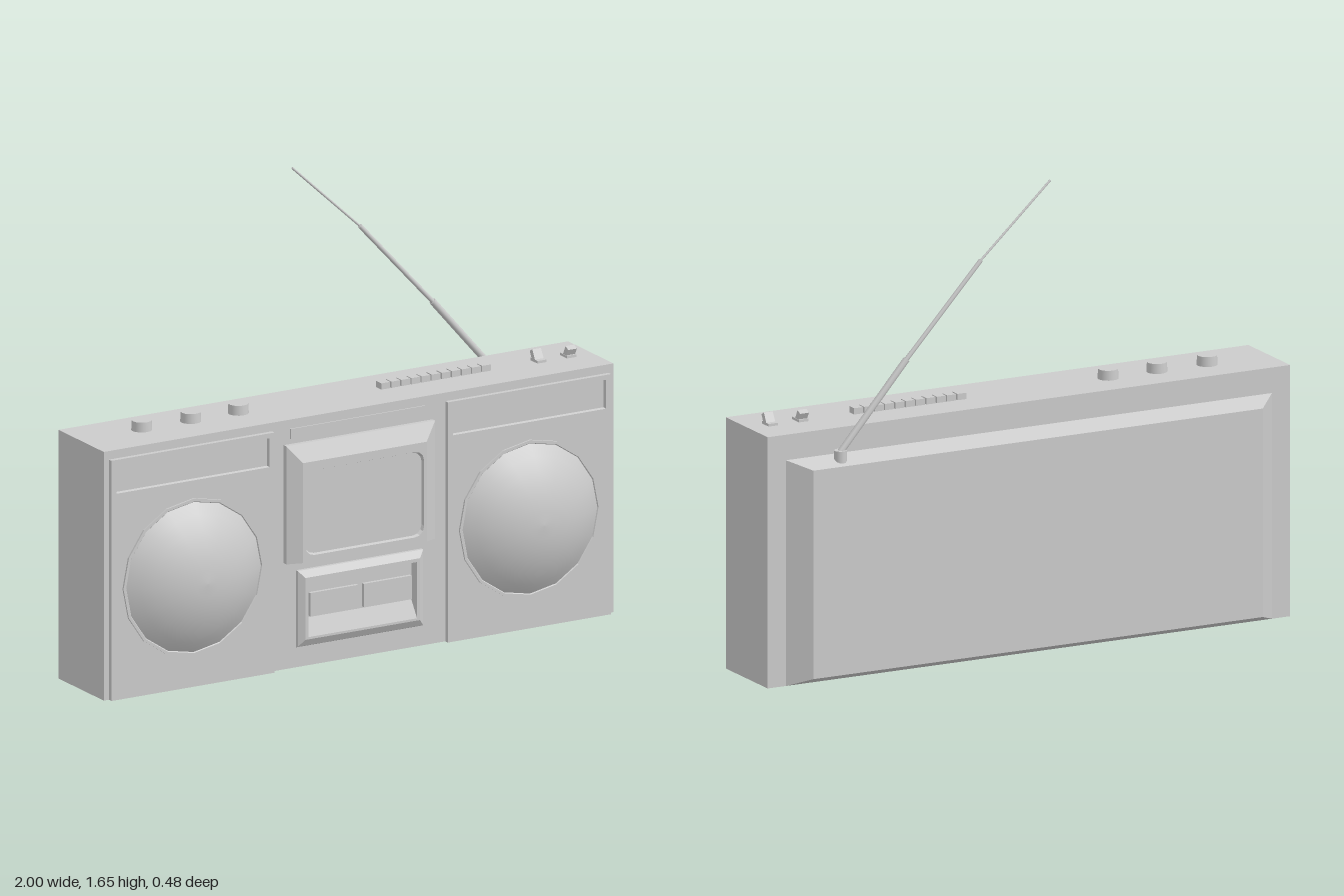
import * as THREE from 'three';

const FRONT = 0.123, BACK = -0.175, TOP = 0.876;

export function createModel() {
  const root = new THREE.Group();
  const smooth = new THREE.MeshStandardMaterial({ color: 0xcccccc });
  const flat = new THREE.MeshStandardMaterial({ color: 0xcccccc, flatShading: true });

  function add(name, geometry, x = 0, y = 0, z = 0, material = flat) {
    const mesh = new THREE.Mesh(geometry, material);
    mesh.name = name;
    mesh.position.set(x, y, z);
    root.add(mesh);
    return mesh;
  }
  const box = (name, w, h, d, x, y, z) => add(name, new THREE.BoxGeometry(w, h, d), x, y, z);

  // Outline of a rectangle, with optional rounded corners, counter-clockwise
  function outline([x0, x1, y0, y1, z, r = 0]) {
    const corners = [[x1 - r, y0 + r], [x1 - r, y1 - r], [x0 + r, y1 - r], [x0 + r, y0 + r]];
    const points = [];
    corners.forEach(([cx, cy], c) => {
      for (let k = 0; k <= 3; k++) {
        const a = (c - 1 + k / 3) * Math.PI / 2;
        points.push([cx + r * Math.cos(a), cy + r * Math.sin(a), z]);
      }
    });
    return points;
  }

  // Joins rectangular outlines one after the other and caps the last one
  function loft(rings) {
    const loops = rings.map(outline), pos = [];
    const n = loops[0].length;
    const tri = (a, b, c) => pos.push(...a, ...b, ...c);
    for (let s = 0; s < loops.length - 1; s++) {
      const a = loops[s], b = loops[s + 1];
      for (let i = 0; i < n; i++) {
        const j = (i + 1) % n;
        tri(a[i], a[j], b[j]);
        tri(a[i], b[j], b[i]);
      }
    }
    const last = loops[loops.length - 1];
    for (let i = 1; i < n - 1; i++) tri(last[0], last[i], last[i + 1]);
    const g = new THREE.BufferGeometry();
    g.setAttribute('position', new THREE.Float32BufferAttribute(pos, 3));
    g.computeVertexNormals();
    return g;
  }

  // Case and bevelled back cover
  box('case', 2, TOP, FRONT - BACK, 0, TOP / 2, (FRONT + BACK) / 2);
  add('backCover', loft([
    [-0.93, 0.93, 0, 0.787, -BACK],
    [-0.86, 0.86, 0.03, 0.757, 0.24],
  ])).rotation.y = Math.PI;

  // Speaker panels with a recessed label strip, rim and dome
  const domeR = 0.265, domeZ = 0.145, domeH = 0.096;
  const sphereR = (domeR * domeR + domeH * domeH) / (2 * domeH);
  const domeProfile = [];
  for (let i = 0; i <= 6; i++) {
    const a = Math.asin(domeR / sphereR) * (1 - i / 6);
    domeProfile.push(new THREE.Vector2(sphereR * Math.sin(a), sphereR * Math.cos(a) - sphereR + domeH));
  }
  const rimProfile = [[0.277, -0.02], [0.277, 0.002], [0.267, 0.002], [0.263, -0.003]]
    .map(([r, h]) => new THREE.Vector2(r, h));
  for (const side of [-1, 1]) {
    const cx = side * 0.66;
    add('speakerPanel', loft([
      [cx - 0.32, cx + 0.32, 0, 0.846, FRONT],
      [cx - 0.32, cx + 0.32, 0, 0.846, 0.14],
      [cx - 0.3, cx + 0.3, 0.727, 0.829, 0.14],
      [cx - 0.297, cx + 0.297, 0.73, 0.826, 0.129],
    ]));
    add('speakerRim', new THREE.LatheGeometry(rimProfile, 16), cx, 0.388, domeZ).rotation.x = Math.PI / 2;
    add('speakerDome', new THREE.LatheGeometry(domeProfile, 16), cx, 0.388, domeZ - 0.002, smooth)
      .rotation.x = Math.PI / 2;
  }

  // Tape door with bevelled edges and a sunken window
  add('tapeDoor', loft([
    [-0.294, 0.29, 0.374, 0.79, FRONT],
    [-0.294, 0.29, 0.374, 0.79, 0.14],
    [-0.245, 0.241, 0.378, 0.73, 0.167],
    [-0.235, 0.231, 0.4, 0.7, 0.167, 0.035],
    [-0.231, 0.227, 0.404, 0.696, 0.156, 0.035],
  ]));
  box('nameStrip', 0.53, 0.036, 0.01, -0.004, 0.826, FRONT);

  // Key tray with a sloping inner ledge and two keys
  add('keyTray', loft([
    [-0.246, 0.246, 0.07, 0.342, FRONT],
    [-0.246, 0.246, 0.075, 0.342, 0.135],
    [-0.225, 0.225, 0.1, 0.318, 0.15],
    [-0.213, 0.213, 0.108, 0.306, 0.15],
    [-0.205, 0.205, 0.17, 0.3, 0.126],
  ]));
  for (const side of [-1, 1]) box('trayKey', 0.188, 0.082, 0.022, side * 0.105, 0.217, 0.128);

  // Controls on top: knobs, push buttons and rocker switches
  for (const x of [-0.757, -0.565, -0.378]) {
    add('knob', new THREE.CylinderGeometry(0.034, 0.036, 0.036, 16), x, TOP + 0.016, -0.035, smooth);
  }
  const buttons = 11, pitch = 0.435 / buttons;
  for (let i = 0; i < buttons; i++) {
    box('pushButton', pitch - 0.005, 0.024, 0.034, 0.17 + pitch * (i + 0.5), TOP + 0.01, -0.034);
  }
  [0.797, 0.913].forEach((x, i) => {
    box('switchBase', 0.036, 0.012, 0.048, x, TOP + 0.003, -0.03);
    box('switchLever', 0.034, 0.045, 0.02, x, TOP + 0.016, -0.03 + (i ? 0.01 : -0.01))
      .rotation.x = i ? 0.5 : -0.5;
  });

  // Telescopic aerial in three sections on a pivot
  const az = -0.205;
  add('aerialPivot', new THREE.CylinderGeometry(0.022, 0.022, 0.05, 12), 0.738, 0.78, az, smooth);
  const joints = [[0.738, 0.798], [0.485, 1.09], [0.2, 1.4], [-0.065, 1.645]]
    .map(([x, y]) => new THREE.Vector3(x, y, az));
  [0.012, 0.008, 0.004].forEach((r, i) => {
    const dir = joints[i + 1].clone().sub(joints[i]);
    const mid = joints[i].clone().addScaledVector(dir, 0.5);
    add('aerialSection', new THREE.CylinderGeometry(r, r, dir.length(), 8), mid.x, mid.y, mid.z, smooth)
      .quaternion.setFromUnitVectors(new THREE.Vector3(0, 1, 0), dir.normalize());
  });

  return root;
}
